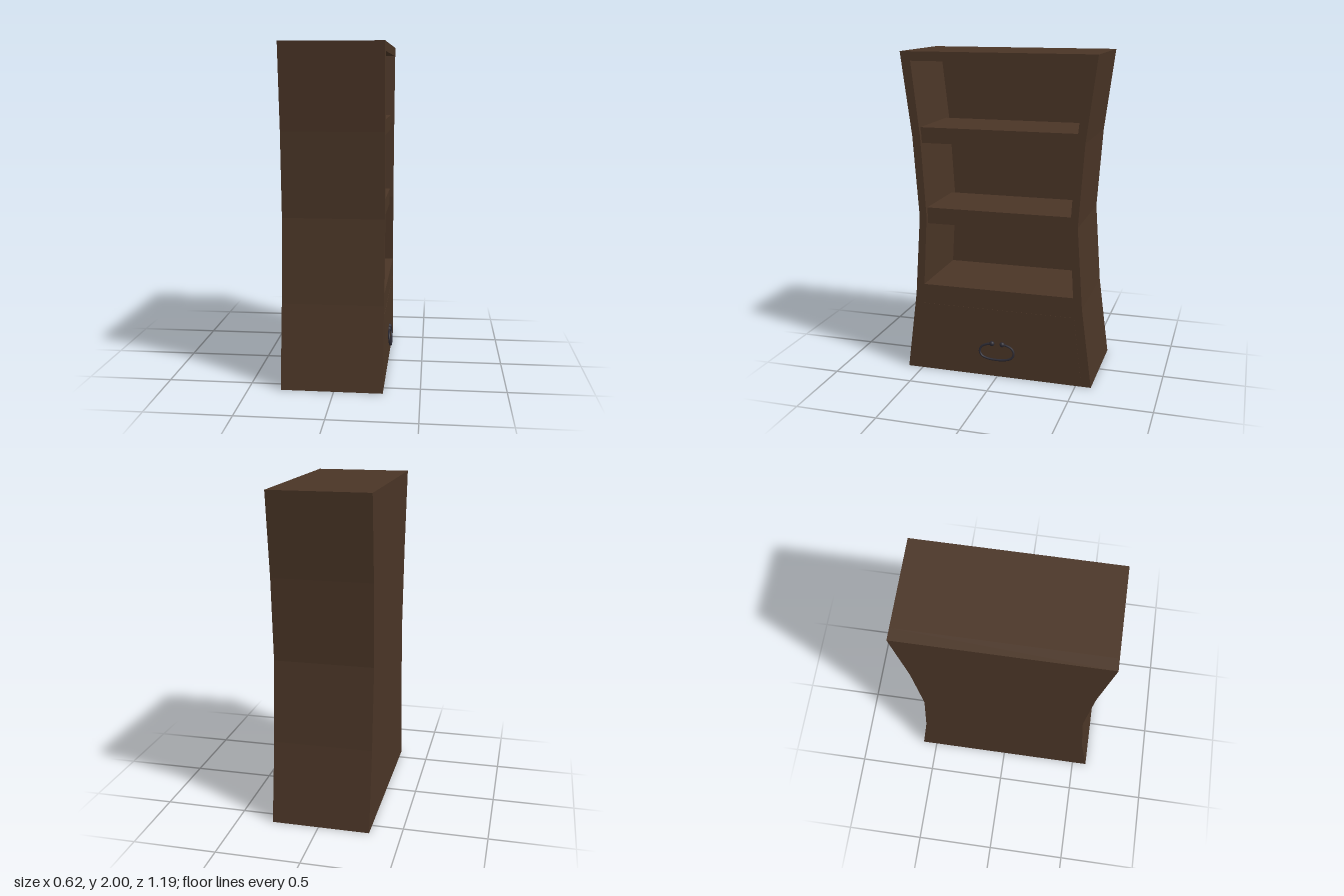
import * as THREE from 'three';

const FRONT = 0.285, BACK = -0.31, INNER_BACK = -0.24;

// half-widths [y, halfWidth] of the waisted outline and of the shelf opening
const OUTER = [[0, 0.595], [0.5, 0.53], [1, 0.495], [1.5, 0.53], [2, 0.595]];
const OPENING = [[0.565, 0.475], [1, 0.45], [1.5, 0.48], [1.945, 0.53]];

const wood = new THREE.MeshStandardMaterial({ color: 0x4a3526 });
const iron = new THREE.MeshStandardMaterial({ color: 0x2b2932 });

// mirrored closed outline from a half-width profile
function outline(profile) {
  const right = profile.map(([y, w]) => new THREE.Vector2(w, y));
  const left = profile.map(([y, w]) => new THREE.Vector2(-w, y)).reverse();
  return [...right, ...left];
}

function widthAt(profile, y) {
  const i = Math.max(1, profile.findIndex(p => p[0] >= y));
  const [y0, w0] = profile[i - 1], [y1, w1] = profile[i];
  return w0 + (w1 - w0) * (y - y0) / (y1 - y0);
}

// slab with the given outline, running from x0 to x1
function slab(name, profile, x0, x1, hole) {
  const shape = new THREE.Shape(outline(profile));
  if (hole) shape.holes.push(new THREE.Path(outline(hole)));
  const geo = new THREE.ExtrudeGeometry(shape, { depth: x1 - x0, bevelEnabled: false });
  geo.rotateY(Math.PI / 2).translate(x0, 0, 0);
  const mesh = new THREE.Mesh(geo, wood);
  mesh.name = name;
  return mesh;
}

export function createModel() {
  const model = new THREE.Group();
  model.name = 'bookcase';

  // carcass and back
  model.add(slab('carcass', OUTER, INNER_BACK, FRONT, OPENING));
  model.add(slab('backPanel', OUTER, BACK, INNER_BACK));

  // shelves, ends following the side walls
  [[0.955, 1.055], [1.455, 1.55]].forEach(([y0, y1], i) => {
    const mid = i === 0 ? 1 : 1.5;
    const profile = [y0, mid, y1].map(y => [y, widthAt(OPENING, y)]);
    model.add(slab(i === 0 ? 'lowerShelf' : 'upperShelf', profile, -0.18, 0.262));
  });

  // drawer front, almost flush
  model.add(slab('drawerFront', [[0.055, 0.53], [0.44, 0.483]], 0.2, FRONT + 0.0015));

  // drop handle with two knobs
  const handle = new THREE.Group();
  handle.name = 'drawerHandle';
  const half = [[0.217, 0.035], [0.212, 0.065], [0.195, 0.098], [0.165, 0.11], [0.137, 0.095], [0.122, 0.055]];
  const hang = (y, z) => new THREE.Vector3(0.291 + (0.217 - y) * 0.12, y, z);
  const path = new THREE.CatmullRomCurve3([
    ...half.map(([y, z]) => hang(y, z)),
    hang(0.118, 0),
    ...half.map(([y, z]) => hang(y, -z)).reverse(),
  ]);
  const bail = new THREE.Mesh(new THREE.TubeGeometry(path, 64, 0.007, 10), iron);
  bail.name = 'handleRing';
  handle.add(bail);
  for (const side of [1, -1]) {
    const knob = new THREE.Mesh(new THREE.SphereGeometry(0.016, 16, 12), iron);
    knob.name = 'handleKnob';
    knob.position.set(0.288, 0.217, side * 0.033);
    handle.add(knob);
  }
  model.add(handle);

  return model;
}
